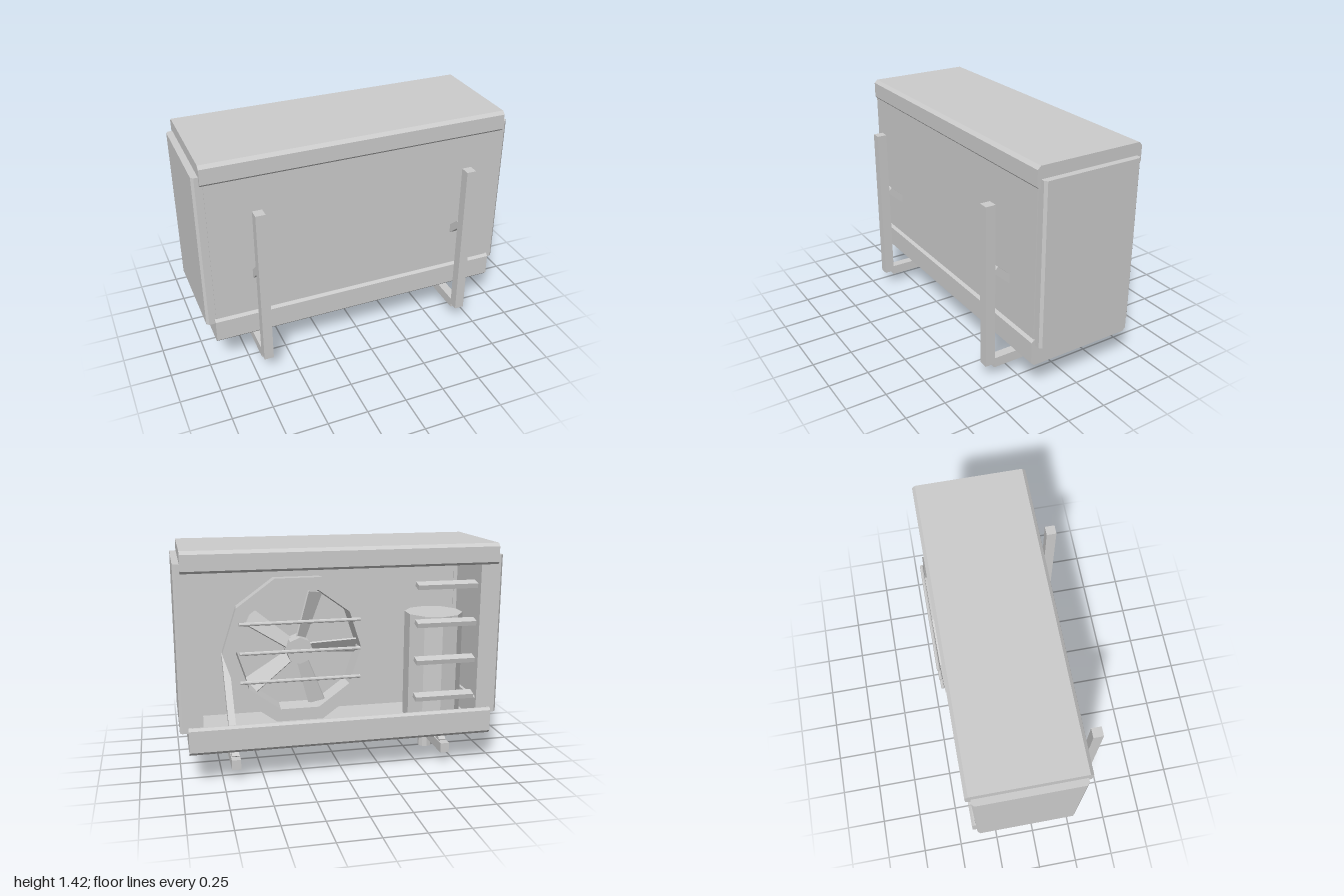
import * as THREE from 'three';

export function createModel() {
  const model = new THREE.Group();
  model.name = 'outdoorUnit';
  const grey = new THREE.MeshStandardMaterial({ color: 0xcccccc, flatShading: true, side: THREE.DoubleSide });
  grey.name = 'light grey metal';

  const add = (name, geo, x = 0, y = 0, z = 0, parent = model) => {
    const m = new THREE.Mesh(geo, grey);
    m.name = name;
    m.position.set(x, y, z);
    parent.add(m);
    return m;
  };
  const box = (name, x0, x1, y0, y1, z0, z1) =>
    add(name, new THREE.BoxGeometry(x1 - x0, y1 - y0, z1 - z0), (x0 + x1) / 2, (y0 + y1) / 2, (z0 + z1) / 2);
  const extrude = (pts, depth) =>
    new THREE.ExtrudeGeometry(new THREE.Shape(pts.map(p => new THREE.Vector2(...p))), { depth, bevelEnabled: false });

  // Folded trays with chamfered corners: h runs from the flat face to the lip edge
  const tray = (name, half, yAt, height) => {
    const profile = [
      [-0.4, 0.02], [-0.38, 0], [0.28, 0], [0.3, 0.02], [0.3, height - 0.015], [0.285, height], [0.275, height],
      [0.275, 0.025], [-0.375, 0.025], [-0.375, height], [-0.385, height], [-0.4, height - 0.015]
    ].map(([z, h]) => [z, yAt(h)]);
    const geo = extrude(profile, half * 2);
    geo.rotateY(-Math.PI / 2);
    add(name, geo, half);
    const end = extrude(profile.slice(0, 6).concat(profile.slice(9)), 0.02);
    end.rotateY(-Math.PI / 2);
    add(name + 'EndLeft', end, half);
    add(name + 'EndRight', end, -half + 0.02);
  };
  tray('topCover', 0.96, h => 1.42 - h, 0.13);
  tray('baseTray', 0.95, h => 0.2 + h, 0.17);

  // Solid wall at the front, the other side is open
  box('wallPanel', -0.94, 0.94, 0.22, 1.4, 0.265, 0.282);

  // Side panels folded round the corners
  for (const s of [1, -1]) {
    const geo = extrude([
      [0.86, 0.37], [0.985, 0.37], [1, 0.355], [1, -0.262], [0.985, -0.277], [0.925, -0.277],
      [0.925, -0.26], [0.95, -0.26], [0.95, 0.35], [0.86, 0.35]
    ].map(([x, d]) => [x * s, d]), 1.01);
    geo.rotateX(-Math.PI / 2);
    add(s > 0 ? 'leftSidePanel' : 'rightSidePanel', geo, 0, 0.335, 0);
  }

  // Wall brackets: post, arm and diagonal brace
  for (const x of [-0.67, 0.67]) {
    box('bracketPost', x - 0.03, x + 0.03, 0.1, 1.13, 0.382, 0.445);
    box('bracketArm', x - 0.028, x + 0.028, 0.072, 0.135, -0.35, 0.384);
    const dz = 0.66, dy = 0.6;
    const brace = add('bracketBrace', new THREE.BoxGeometry(0.045, 0.045, Math.hypot(dz, dy)), x, 0.425, 0.045);
    brace.rotation.x = -Math.atan2(dy, dz);
  }

  // Fan shroud
  const fan = new THREE.Group();
  fan.name = 'fan';
  fan.position.set(0.285, 0.82, 0);
  model.add(fan);
  const ring = new THREE.LatheGeometry(
    [[0.445, 0.3], [0.455, 0.415], [0.375, 0.415], [0.365, 0.3], [0.445, 0.3]].map(p => new THREE.Vector2(...p)),
    10, Math.PI / 10);
  ring.rotateX(-Math.PI / 2);
  add('fanRing', ring, 0, 0, 0, fan);

  // Hub and five pitched blades
  const hub = new THREE.CylinderGeometry(0.08, 0.08, 0.12, 8);
  hub.rotateX(Math.PI / 2);
  add('fanHub', hub, 0, 0, -0.365, fan);
  for (let i = 0; i < 5; i++) {
    const arm = new THREE.Group();
    arm.name = 'fanBladeArm';
    arm.position.z = -0.36;
    arm.rotation.z = Math.PI + i * Math.PI * 2 / 5;
    fan.add(arm);
    const geo = extrude([[0.06, -0.035], [0.35, -0.055], [0.36, 0.055], [0.06, 0.035]], 0.012);
    add('fanBlade', geo, 0, 0, 0, arm).rotation.x = 0.55;
  }

  // Guard bars across the fan
  for (const y of [-0.175, 0, 0.175]) {
    const geo = new THREE.CylinderGeometry(0.011, 0.011, 0.72, 8);
    geo.rotateZ(Math.PI / 2);
    add('guardBar', geo, -0.005, y, -0.43, fan);
  }

  // Vent slats
  for (let i = 0; i < 4; i++) {
    const slat = add('ventSlat', new THREE.BoxGeometry(0.38, 0.03, 0.06), -0.64, 1.17 - i * 0.235, -0.365);
    slat.rotation.x = -0.25;
  }

  // Compressor and drain pipe
  add('compressor', new THREE.CylinderGeometry(0.19, 0.19, 0.71, 10), -0.69, 0.575, 0);
  const pipe = new THREE.LatheGeometry(
    [[0.047, 0], [0.047, 0.22], [0.036, 0.22], [0.036, 0], [0.047, 0]].map(p => new THREE.Vector2(...p)), 10);
  add('drainPipe', pipe, -0.655, 0, 0.005);

  // Centre the depth of the whole unit
  const b = new THREE.Box3().setFromObject(model);
  const shift = (b.min.z + b.max.z) / 2;
  model.children.forEach(c => { c.position.z -= shift; });
  return model;
}
